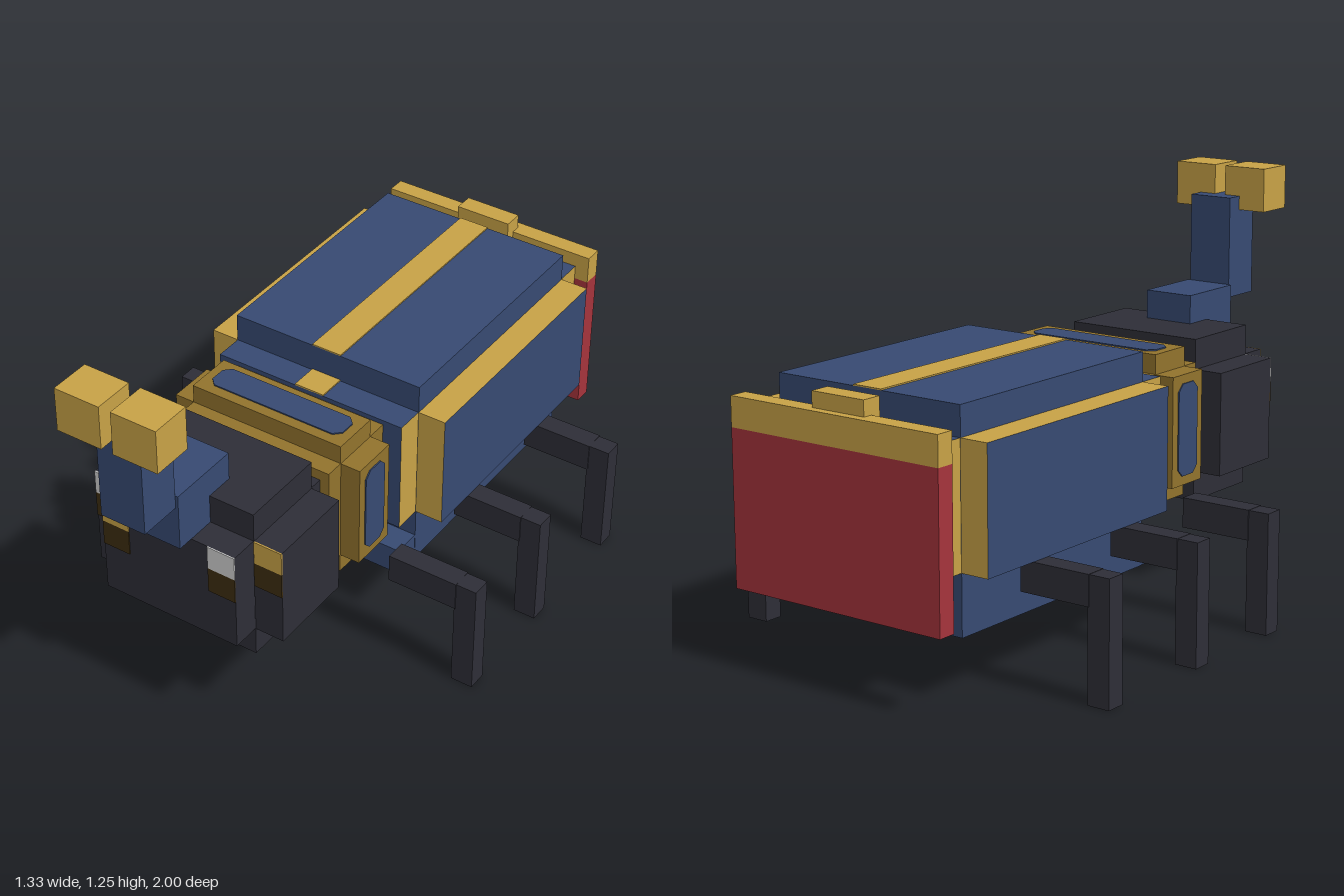
import * as THREE from 'three';

const mat = (name, color) => {
  const m = new THREE.MeshStandardMaterial({ color });
  m.name = name;
  return m;
};

export function createModel() {
  const navy = mat('navy', 0x374a72);
  const gold = mat('gold', 0xc8a246);
  const bronze = mat('bronze', 0x92732d);
  const black = mat('black', 0x2e2e37);
  const red = mat('red', 0xa6343c);
  const white = mat('eye white', 0xcfcfcf);
  const brown = mat('eye brown', 0x3d2d10);

  const model = new THREE.Group();
  model.name = 'beetle';

  // Box from its limits; an array of materials follows +x -x +y -y +z -z
  const box = (name, material, [x0, x1], [y0, y1], [z0, z1], parent = model) => {
    const mesh = new THREE.Mesh(new THREE.BoxGeometry(x1 - x0, y1 - y0, z1 - z0), material);
    mesh.position.set((x0 + x1) / 2, (y0 + y1) / 2, (z0 + z1) / 2);
    mesh.name = name;
    parent.add(mesh);
    return mesh;
  };
  const group = (name) => {
    const g = new THREE.Group();
    g.name = name;
    model.add(g);
    return g;
  };
  const wide = (w) => [-w, w];

  // Abdomen: main block, longer inner core and belly
  const abdomen = group('abdomen');
  box('abdomenShell', navy, wide(0.325), [0.19, 0.835], [-0.853, -0.018], abdomen);
  box('abdomenCore', [gold, gold, navy, navy, navy, navy], wide(0.324), [0.372, 0.745], [-0.942, 0.073], abdomen);
  box('belly', navy, wide(0.324), [0.191, 0.28], [-0.852, 0.073], abdomen);

  // Gold stripe down the back, stepped with the shell
  box('backStripe', gold, wide(0.05), [0.834, 0.839], [-0.853, -0.018], abdomen);
  box('frontStripe', gold, wide(0.05), [0.744, 0.749], [-0.018, 0.073], abdomen);
  box('rearStripe', gold, wide(0.05), [0.744, 0.749], [-0.942, -0.853], abdomen);

  // Side panels: gold rim with a navy outer face
  for (const s of [1, -1]) {
    const x = s > 0 ? [0.325, 0.415] : [-0.415, -0.325];
    const faces = [gold, gold, gold, gold, gold, gold];
    faces[s > 0 ? 0 : 1] = navy;
    box('sidePanel', faces, x, [0.372, 0.745], [-0.853, -0.018], abdomen);
  }

  // Rear plate with its gold top band and knob
  const rear = group('rearPlate');
  box('rearPlateBand', gold, wide(0.37), [0.7, 0.79], [-1, -0.942], rear);
  box('rearPlateLower', [red, red, red, gold, red, red], wide(0.37), [0.235, 0.7], [-1, -0.942], rear);
  box('rearKnob', gold, wide(0.093), [0.745, 0.837], [-0.972, -0.908], rear);

  // Collar between head and abdomen
  const collar = group('collar');
  box('collarCore', bronze, wide(0.26), [0.388, 0.73], [0.073, 0.353], collar);
  box('collarTall', bronze, wide(0.26), [0.328, 0.79], [0.14, 0.293], collar);
  box('collarWide', bronze, wide(0.325), [0.389, 0.729], [0.139, 0.292], collar);

  // Navy inlays with clipped corners
  const inlay = (name, a, b) => {
    const c = 0.022;
    const shape = new THREE.Shape([
      [a - c, -b], [a, c - b], [a, b - c], [a - c, b],
      [c - a, b], [-a, b - c], [-a, c - b], [c - a, -b],
    ].map(([x, y]) => new THREE.Vector2(x, y)));
    const mesh = new THREE.Mesh(new THREE.ExtrudeGeometry(shape, { depth: 0.005, bevelEnabled: false }), navy);
    mesh.name = name;
    collar.add(mesh);
    return mesh;
  };
  const top = inlay('collarTopInlay', 0.23, 0.047);
  top.rotation.x = -Math.PI / 2;
  top.position.set(0, 0.789, 0.212);
  for (const s of [1, -1]) {
    const side = inlay('collarSideInlay', 0.049, 0.142);
    side.rotation.y = s * Math.PI / 2;
    side.position.set(s * 0.324, 0.56, 0.215);
  }

  // Head
  const head = group('head');
  box('headLong', black, wide(0.23), [0.374, 0.697], [0.306, 0.767], head);
  box('headWide', black, wide(0.325), [0.373, 0.696], [0.397, 0.677], head);
  box('headTall', black, wide(0.231), [0.28, 0.79], [0.396, 0.678], head);

  // Eyes wrap the step from the front block to the cheek
  for (const s of [1, -1]) {
    const span = (a, b) => (s > 0 ? [a, b] : [-b, -a]);
    const front = [0.766, 0.77], cheek = [0.676, 0.681];
    box('innerEye', s > 0 ? white : gold, span(0.138, 0.23), [0.62, 0.697], front, head);
    box('outerEye', s > 0 ? gold : white, span(0.232, 0.325), [0.62, 0.696], cheek, head);
    box('innerEyeShade', brown, span(0.138, 0.23), [0.537, 0.62], front, head);
    box('outerEyeShade', brown, span(0.232, 0.325), [0.537, 0.62], cheek, head);
  }

  // Forked horn
  const horn = group('horn');
  box('hornBase', navy, wide(0.083), [0.697, 0.88], [0.585, 0.818], horn);
  box('hornShaft', navy, wide(0.074), [0.838, 1.16], [0.818, 0.954], horn);
  for (const x of [[0.019, 0.166], [-0.166, -0.019]]) {
    box('hornTip', gold, x, [1.116, 1.254], [0.872, 1], horn);
  }

  // Three pairs of bent legs
  for (const z of [0.165, -0.203, -0.622]) {
    for (const s of [1, -1]) {
      const leg = group('leg');
      const span = (a, b) => (s > 0 ? [a, b] : [-b, -a]);
      box('upperLeg', black, span(0.37, 0.6), [0.28, 0.372], [z - 0.034, z + 0.034], leg);
      box('lowerLeg', black, span(0.595, 0.667), [0, 0.371], [z - 0.031, z + 0.031], leg);
    }
  }

  return model;
}
